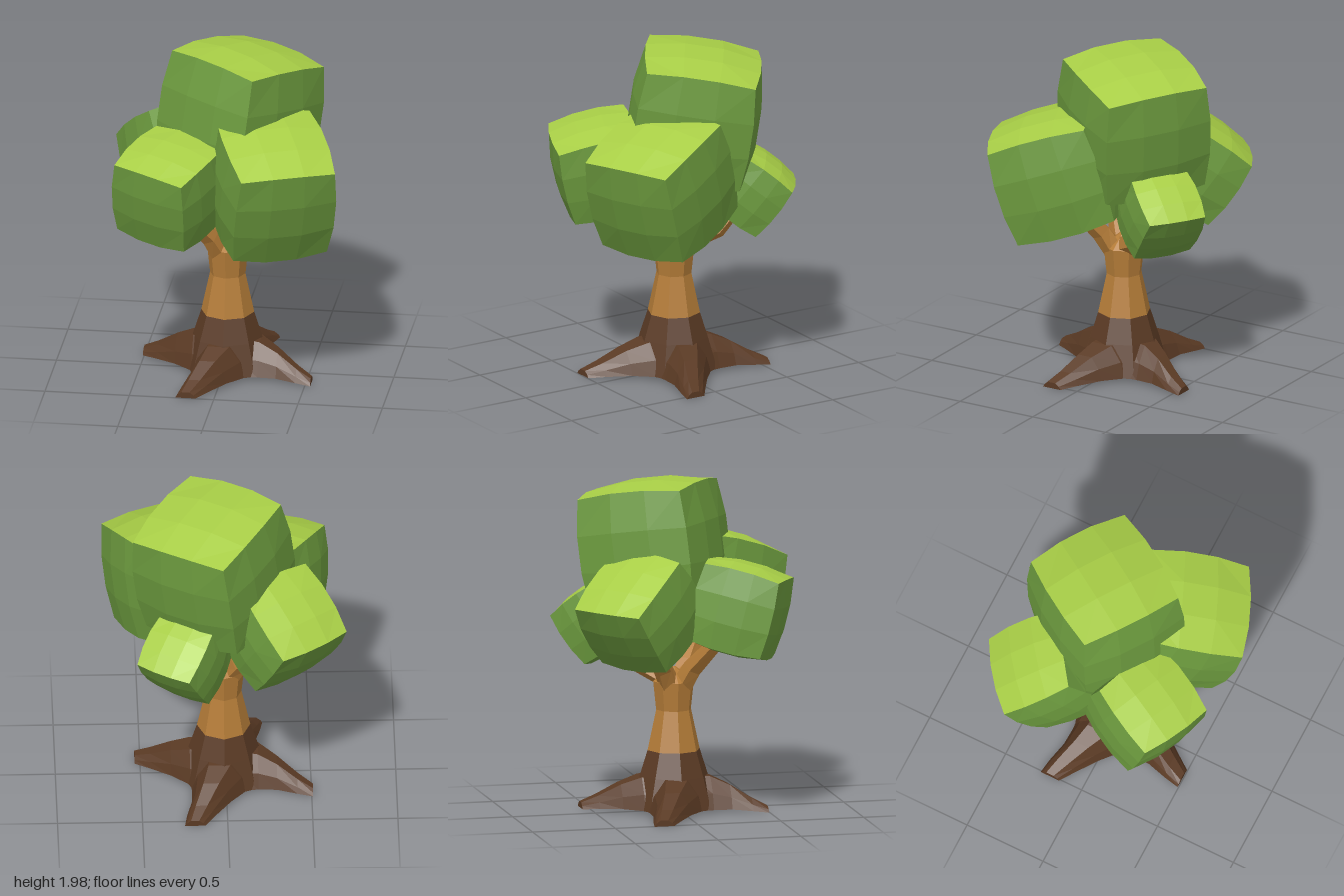
import * as THREE from 'three';

const flat = (name, color) => {
  const m = new THREE.MeshStandardMaterial({ color, flatShading: true });
  m.name = name;
  return m;
};
const leafTop = flat('lightLeaf', 0xa8ce46);
const leafSide = flat('leafGreen', 0x6c9a3e);
const bark = flat('bark', 0xb47c38);
const darkBark = flat('darkBark', 0x5a3a24);

const V = (x, y, z) => new THREE.Vector3(x, y, z);
const rad = THREE.MathUtils.degToRad;

function add(parent, name, geometry, material) {
  const mesh = new THREE.Mesh(geometry, material);
  mesh.name = name;
  parent.add(mesh);
  return mesh;
}

// Skin rings of points, counter-clockwise as seen from the end, and cap both ends
function loft(rings) {
  const n = rings[0].length;
  const index = [];
  for (let i = 0; i < rings.length - 1; i++) {
    for (let j = 0; j < n; j++) {
      const a = i * n + j, b = i * n + (j + 1) % n;
      index.push(a, b, b + n, a, b + n, a + n);
    }
  }
  const last = (rings.length - 1) * n;
  for (let j = 1; j < n - 1; j++) {
    index.push(0, j + 1, j, last, last + j, last + j + 1);
  }
  const geo = new THREE.BufferGeometry().setFromPoints(rings.flat());
  geo.setIndex(index);
  geo.computeVertexNormals();
  return geo;
}

// Tapering limb with five sides along a few points
function limb(points, radii) {
  const rings = points.map((p, i) => {
    const t = points[Math.min(i + 1, points.length - 1)].clone()
      .sub(points[Math.max(i - 1, 0)]).normalize();
    const b = V(0, 1, 0).cross(t).normalize();
    const a = b.clone().cross(t);
    return Array.from({ length: 5 }, (_, k) => {
      const s = k / 5 * Math.PI * 2;
      return p.clone().addScaledVector(a, Math.cos(s) * radii[i])
        .addScaledVector(b, Math.sin(s) * radii[i]);
    });
  });
  return loft(rings);
}

// Cube with swollen faces and slightly bowed edges
function leafBlock(w, h, d) {
  const geo = new THREE.BoxGeometry(2, 2, 2, 3, 3, 3);
  const p = geo.attributes.position;
  const swell = (a, b) => 1 + 0.075 * (a + b) + 0.06 * a * b;
  for (let i = 0; i < p.count; i++) {
    const x = p.getX(i), y = p.getY(i), z = p.getZ(i);
    const ex = 1 - x * x, ey = 1 - y * y, ez = 1 - z * z;
    p.setXYZ(i, x * w / 2 * swell(ey, ez), y * h / 2 * swell(ex, ez), z * d / 2 * swell(ex, ey));
  }
  geo.computeVertexNormals();
  return geo;
}

export function createModel() {
  const tree = new THREE.Group();
  tree.name = 'tree';

  // Trunk: stacked eight-sided rings, dark at the foot
  const trunk = new THREE.Group();
  trunk.name = 'trunk';
  trunk.position.set(0.012, 0, -0.025);
  tree.add(trunk);
  const rings = [[0.03, 0.26], [0.22, 0.205], [0.37, 0.157], [0.61, 0.105], [0.78, 0.123], [0.865, 0.012]];
  for (let i = 0; i < rings.length - 1; i++) {
    const [y0, r0] = rings[i], [y1, r1] = rings[i + 1];
    const open = i > 0 && i < rings.length - 2;
    const geo = new THREE.CylinderGeometry(r1, r0, y1 - y0, 8, 1, open);
    add(trunk, 'trunkSection', geo, i < 2 ? darkBark : bark).position.y = (y0 + y1) / 2;
  }

  // Four bent roots: distance out, sideways shift, half width, top, bottom
  const rootPath = [
    [0.08, 0, 0.2, 0.23, 0.03],
    [0.2, 0.03, 0.16, 0.215, 0.03],
    [0.31, 0.08, 0.115, 0.165, 0.03],
    [0.43, 0.14, 0.085, 0.09, 0.02],
    [0.52, 0.18, 0.06, 0.045, 0.01],
  ];
  const rootGeo = loft(rootPath.map(([x, s, w, top, low]) => {
    const mid = low + (top - low) * 0.5;
    return [V(x, top, s - w * 0.4), V(x, top, s + w * 0.4), V(x, mid, s + w * 0.8),
      V(x, low, s + w), V(x, low, s - w), V(x, mid, s - w * 0.8)];
  }));
  for (let i = 0; i < 4; i++) {
    add(trunk, 'root', rootGeo, darkBark).rotation.y = -i * Math.PI / 2;
  }

  // Branches reaching into the foliage
  const branches = [
    [V(0.055, 0.76, 0.02), V(0.1, 0.87, 0.08), V(0.27, 1.1, 0.21)],
    [V(-0.03, 0.76, 0.02), V(-0.08, 0.87, 0.07), V(-0.24, 1.08, 0.21)],
    [V(-0.03, 0.76, -0.06), V(-0.08, 0.87, -0.11), V(-0.25, 1.1, -0.23)],
    [V(0.05, 0.8, -0.07), V(0.16, 0.885, -0.23), V(0.22, 1.05, -0.36)],
  ];
  for (const path of branches) add(tree, 'branch', limb(path, [0.066, 0.06, 0.044]), bark);

  // Foliage: name, centre, size, then yaw, pitch and roll in degrees
  const blocks = [
    ['topFoliage', [0.073, 1.59, -0.13], [0.63, 0.65, 0.645], [-33.5, -8.5, -3]],
    ['frontLeftFoliage', [0.308, 1.28, 0.25], [0.57, 0.585, 0.6], [23, 18, 0]],
    ['frontRightFoliage', [-0.285, 1.25, 0.305], [0.465, 0.46, 0.455], [-26, 13, -6]],
    ['backRightFoliage', [-0.315, 1.255, -0.3], [0.48, 0.44, 0.475], [-142.3, 36, 0]],
    ['backLeftFoliage', [0.25, 1.12, -0.42], [0.36, 0.35, 0.33], [146.5, 38, 0]],
  ];
  const faces = [leafSide, leafSide, leafTop, leafSide, leafSide, leafSide];
  for (const [name, centre, size, [yaw, pitch, roll]] of blocks) {
    const mesh = add(tree, name, leafBlock(...size), faces);
    mesh.position.set(...centre);
    mesh.rotation.set(rad(pitch), rad(yaw), rad(roll), 'YXZ');
  }
  return tree;
}
